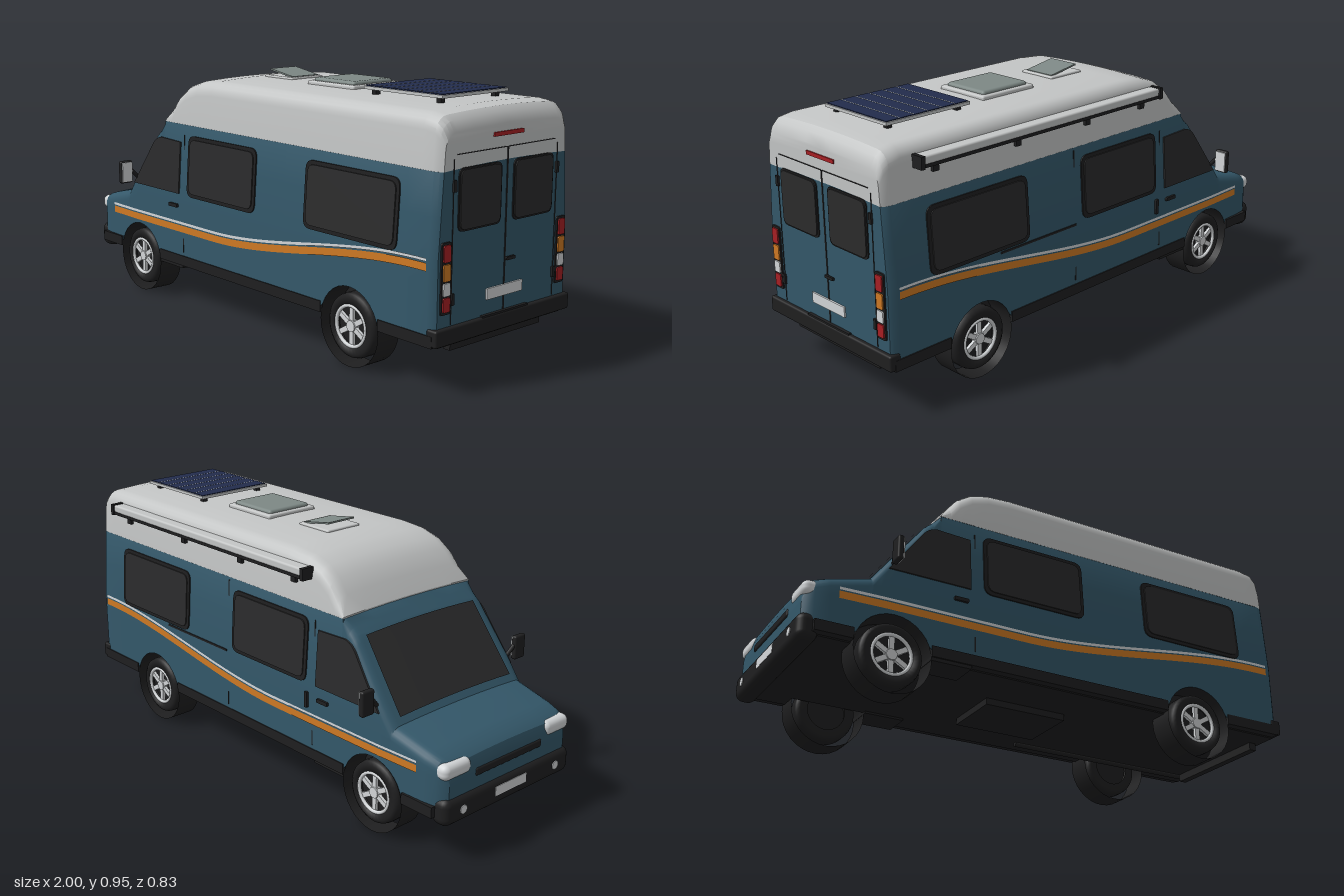
import * as THREE from 'three';
import { toCreasedNormals } from 'three/addons/utils/BufferGeometryUtils.js';
import { RoundedBoxGeometry } from 'three/addons/geometries/RoundedBoxGeometry.js';

const mat = (name, color, side = THREE.FrontSide) => {
  const m = new THREE.MeshStandardMaterial({ color, side });
  m.name = name;
  return m;
};
const teal = mat('tealPaint', 0x34586a);
const roofGrey = mat('roofGrey', 0xc4c6c6);
const black = mat('blackPlastic', 0x1f1f20, THREE.DoubleSide);
const glass = mat('darkGlass', 0x2b2b2c);
const orange = mat('orange', 0xd07a24);
const red = mat('redLens', 0xa82024);
const navy = mat('solarNavy', 0x222c4c);
const silver = mat('silver', 0xd4d7d9);
const hatch = mat('hatchGlass', 0x7d8885);

// Piecewise-linear lookup in a list of [x, value] pairs
const lookup = (table, x) => {
  for (let i = 1; i < table.length; i++) {
    const [x0, v0] = table[i - 1], [x1, v1] = table[i];
    if (x <= x1) return v0 + (v1 - v0) * Math.max(0, (x - x0) / (x1 - x0));
  }
  return table[table.length - 1][1];
};
const plan = [[-0.985, 0.88], [-0.97, 0.93], [-0.95, 0.96], [-0.9, 0.98], [-0.7, 1], [0.955, 1], [0.975, 0.98], [0.985, 0.955]];
const halfWidth = (x, y) => lookup(plan, x) * (0.337 - Math.max(0, y - 0.42) * 0.07);
const hoodTop = [[-0.985, 0.285], [-0.975, 0.315], [-0.95, 0.335], [-0.9, 0.35], [-0.755, 0.385], [-0.555, 0.65], [-0.5, 0.7]];
const roofTop = [[-0.5, 0.705], [-0.46, 0.765], [-0.42, 0.815], [-0.37, 0.85], [-0.3, 0.872], [-0.2, 0.88], [0.9, 0.88], [0.95, 0.872], [0.97, 0.855], [0.985, 0.82]];
const axles = [-0.67, 0.595], AXLE_Y = 0.115, ARCH = 0.142, CROWN = 0.008;

// Surface through rows of [x, y, z] points
function grid(rows) {
  const n = rows[0].length, index = [];
  for (let i = 0; i < rows.length - 1; i++)
    for (let j = 0; j < n - 1; j++) {
      const a = i * n + j, b = a + n;
      index.push(a, b, b + 1, a, b + 1, a + 1);
    }
  const g = new THREE.BufferGeometry();
  g.setAttribute('position', new THREE.Float32BufferAttribute(rows.flat(2), 3));
  g.setIndex(index);
  return toCreasedNormals(g, 0.5);
}

// One body cross-section: up the side, round the corner, across to the other side
function section(x, yb, yt, radius) {
  const r = Math.min(radius, yt - yb), half = [];
  for (const y of [yb, 0.28, 0.35, 0.42, 0.56]) {
    const c = Math.min(Math.max(y, yb), yt - r);
    half.push([x, c, halfWidth(x, c)]);
  }
  const zi = halfWidth(x, yt - r) - r;
  for (let k = 0; k <= 5; k++) {
    const a = k / 5 * Math.PI / 2;
    half.push([x, yt - r + r * Math.sin(a), zi + r * Math.cos(a)]);
  }
  for (const f of [0.66, 0.33]) half.push([x, yt + CROWN * (1 - f * f), zi * f]);
  return [...half, [x, yt + CROWN, 0], ...half.map(([px, y, z]) => [px, y, -z]).reverse()];
}
const flat = row => row.map(([x, y]) => [x, y, 0]);
const capped = rows => grid([flat(rows[0]), ...rows, flat(rows[rows.length - 1])]);

const archBottom = x => axles.reduce((y, c) => {
  const d = Math.abs(x - c);
  return d < ARCH ? Math.max(y, AXLE_Y + Math.sqrt(ARCH * ARCH - d * d)) : y;
}, 0.16);

function roundRect(x0, x1, y0, y1, r) {
  const s = new THREE.Shape();
  s.moveTo(x0 + r, y0).lineTo(x1 - r, y0).quadraticCurveTo(x1, y0, x1, y0 + r);
  s.lineTo(x1, y1 - r).quadraticCurveTo(x1, y1, x1 - r, y1);
  s.lineTo(x0 + r, y1).quadraticCurveTo(x0, y1, x0, y1 - r);
  s.lineTo(x0, y0 + r).quadraticCurveTo(x0, y0, x0 + r, y0);
  return s;
}

export function createModel() {
  const van = new THREE.Group();
  van.name = 'camperVan';
  const add = (name, geo, material, x = 0, y = 0, z = 0, parent = van) => {
    const m = new THREE.Mesh(geo, material);
    m.name = name;
    m.position.set(x, y, z);
    parent.add(m);
    return m;
  };
  const box = (name, material, [x0, x1], [y0, y1], [z0, z1], r = 0) => {
    const size = [x1 - x0, y1 - y0, Math.abs(z1 - z0)];
    const g = r ? new RoundedBoxGeometry(...size, 3, r) : new THREE.BoxGeometry(...size);
    return add(name, g, material, (x0 + x1) / 2, (y0 + y1) / 2, (z0 + z1) / 2);
  };
  // Thin plate that leans with the body side
  const sidePlate = (name, material, shape, s, t = 0.006) => {
    const g = new THREE.ExtrudeGeometry(shape, { depth: 2 * t, bevelEnabled: false, curveSegments: 5 });
    const p = g.attributes.position;
    for (let i = 0; i < p.count; i++) p.setZ(i, p.getZ(i) - t + s * halfWidth(p.getX(i), p.getY(i)));
    g.computeVertexNormals();
    add(name, g, material);
  };
  // Plate on the rear face, given by its z and y range
  const rearPlate = (name, material, z0, z1, y0, y1, r = 0.002, out = 0.004) => {
    const g = new THREE.ExtrudeGeometry(roundRect(-z1, -z0, y0, y1, r), { depth: 0.008, bevelEnabled: false, curveSegments: 5 });
    add(name, g.rotateY(Math.PI / 2), material, 0.977 + out);
  };

  // Painted body with wheel arches, and the high roof above it
  const xs = hoodTop.map(p => p[0]).concat([-0.7, -0.499, -0.25, 0, 0.25, 0.85, 0.955, 0.975, 0.985]);
  for (const c of axles) for (let k = 0; k <= 16; k++) xs.push(c - 0.1425 * Math.cos(k / 16 * Math.PI));
  xs.sort((a, b) => a - b);
  add('body', capped(xs.map(x => section(x, archBottom(x), x < -0.4995 ? lookup(hoodTop, x) : 0.7, x < -0.51 ? 0.04 : x < -0.4995 ? 0.02 : 0.001))), teal);
  add('highRoof', capped(roofTop.map(([x, y]) => section(x, 0.7, y, 0.055))), roofGrey);

  // Windscreen
  const screen = [];
  for (let i = 0; i <= 6; i++) {
    const x = -0.74 + i * 0.03, w = 0.282 - i * 0.002, row = [];
    for (let j = 0; j <= 8; j++) {
      const f = 1 - j / 4;
      row.push([x - 0.004, lookup(hoodTop, x) + CROWN * (1 - f * f) + 0.006, f * w]);
    }
    screen.push(row);
  }
  add('windscreen', grid(screen), glass);

  // Underside, bumpers and nose
  box('chassis', black, [-0.94, 0.97], [0.13, 0.27], [-0.24, 0.24]);
  for (const [x0, x1] of [[-0.95, -0.812], [-0.528, 0.453], [0.737, 0.98]]) {
    box('floor', black, [x0, x1], [0.13, 0.17], [-0.31, 0.31]);
    for (const s of [-1, 1]) box('sideSkirt', black, [x0, x1], [0.135, 0.175], [s * 0.305, s * 0.341]);
  }
  box('frontBumper', black, [-1, -0.925], [0.105, 0.205], [-0.325, 0.325], 0.03);
  box('rearBumper', black, [0.955, 1], [0.138, 0.196], [-0.34, 0.34], 0.008);
  box('rearStep', black, [0.96, 0.997], [0.19, 0.201], [-0.115, 0.115]);
  box('underrun', black, [0.93, 0.96], [0.1, 0.135], [-0.23, 0.23]);
  box('underTank', black, [-0.2, 0.13], [0.105, 0.135], [-0.12, 0.12]);
  add('exhaust', new THREE.CylinderGeometry(0.01, 0.01, 0.8, 10).rotateZ(Math.PI / 2), black, 0.5, 0.108, -0.2);
  box('grille', black, [-0.99, -0.97], [0.245, 0.275], [-0.17, 0.17], 0.008);
  box('frontPlate', silver, [-1.001, -0.995], [0.145, 0.18], [-0.08, 0.08]);

  for (const s of [-1, 1]) {
    box('headlight', silver, [-0.991, -0.925], [0.268, 0.325], [s * 0.19, s * 0.322], 0.024);
    add('fogLight', new THREE.CylinderGeometry(0.016, 0.016, 0.008, 14).rotateZ(Math.PI / 2), silver, -0.999, 0.155, s * 0.24);
    box('cabStep', black, [-0.53, -0.375], [0.122, 0.14], [s * 0.22, s * 0.335]);

    // Side glazing with dark frames
    const cab = new THREE.Shape();
    cab.moveTo(-0.7, 0.425).lineTo(-0.385, 0.425).lineTo(-0.385, 0.63).lineTo(-0.52, 0.635).quadraticCurveTo(-0.55, 0.63, -0.57, 0.605);
    sidePlate('cabWindow', glass, cab, s);
    for (const [x0, x1] of [[-0.332, 0.088], [0.362, 0.818]]) {
      sidePlate('windowFrame', black, roundRect(x0, x1, 0.422, 0.662, 0.035), s, 0.005);
      sidePlate('sideWindow', glass, roundRect(x0 + 0.014, x1 - 0.014, 0.436, 0.648, 0.03), s, 0.009);
    }
    sidePlate('doorSeam', black, roundRect(-0.367, -0.362, 0.19, 0.66, 0.001), s, 0.002);
    sidePlate('doorHandle', black, roundRect(-0.45, -0.395, 0.368, 0.382, 0.004), s, 0.009);

    // Waist stripes sweeping up to the rear
    const stripe = (name, material, lo, hi) => {
      const rows = [];
      for (let i = 0; i <= 45; i++) {
        const x = -0.87 + i * 0.04045;
        const y = 0.285 + 0.113 * THREE.MathUtils.smoothstep(x, -0.17, 0.92);
        const row = [lo, hi].map(d => [x, y + d, s * (halfWidth(x, y + d) + 0.003)]);
        rows.push(s > 0 ? row : row.reverse());
      }
      add(name, grid(rows), material);
    };
    stripe('orangeStripe', orange, -0.014, 0.013);
    stripe('paleStripe', silver, 0.018, 0.028);

    // Door mirror
    box('mirrorHousing', black, [-0.702, -0.68], [0.43, 0.522], [s * 0.36, s * 0.416], 0.008);
    box('mirrorGlass', silver, [-0.682, -0.676], [0.436, 0.516], [s * 0.365, s * 0.411]);
    const arm = new THREE.LineCurve3(new THREE.Vector3(-0.68, 0.44, s * 0.325), new THREE.Vector3(-0.69, 0.485, s * 0.365));
    add('mirrorArm', new THREE.TubeGeometry(arm, 1, 0.008, 8), black);

    // Wheels and their wells
    for (const x of axles) {
      add('wheelWell', new THREE.CylinderGeometry(ARCH, ARCH, 0.1, 32, 1, true).rotateX(Math.PI / 2).translate(0, 0, s * 0.287), black, x, AXLE_Y)
        .geometry.scale(1, 1, 1);
      const wheel = new THREE.Group();
      wheel.name = 'wheel';
      wheel.position.set(x, AXLE_Y, s * 0.293);
      wheel.rotation.y = s > 0 ? 0 : Math.PI;
      van.add(wheel);
      const tyre = [[0.072, -0.037], [0.1, -0.038], [0.112, -0.03], [0.115, -0.018], [0.115, 0.018], [0.112, 0.03], [0.1, 0.038], [0.075, 0.035], [0.074, 0.01]];
      add('tyre', new THREE.LatheGeometry(tyre.map(p => new THREE.Vector2(...p)), 36).rotateX(Math.PI / 2), black, 0, 0, 0, wheel);
      add('wheelDisc', new THREE.CylinderGeometry(0.075, 0.075, 0.04, 28).rotateX(Math.PI / 2), black, 0, 0, -0.005, wheel);
      add('rim', new THREE.TorusGeometry(0.072, 0.007, 8, 32), silver, 0, 0, 0.032, wheel);
      add('hub', new THREE.CylinderGeometry(0.02, 0.024, 0.02, 16).rotateX(Math.PI / 2), silver, 0, 0, 0.026, wheel);
      for (let k = 0; k < 6; k++)
        add('spoke', new THREE.BoxGeometry(0.019, 0.06, 0.012).translate(0, 0.043, 0), silver, 0, 0, 0.026, wheel).rotation.z = k * Math.PI / 3;
    }

    // Rear doors and lamp clusters
    const span = (a, b) => s > 0 ? [a, b] : [-b, -a];
    rearPlate('rearWindowFrame', black, ...span(0.03, 0.236), 0.499, 0.705, 0.025);
    rearPlate('rearWindow', glass, ...span(0.036, 0.23), 0.505, 0.699, 0.025, 0.008);
    rearPlate('rearDoorSeam', black, ...span(0.257, 0.26), 0.2, 0.735, 0.001, 0.002);
    rearPlate('rearDoorTop', black, ...span(0.004, 0.245), 0.748, 0.751, 0.001, 0.002);
    for (const y of [0.265, 0.632]) rearPlate('hinge', black, ...span(0.25, 0.263), y, y + 0.038, 0.002, 0.008);
    rearPlate('lampHousing', black, ...span(0.267, 0.311), 0.24, 0.476, 0.008, 0.006);
    for (const [m, y0, y1] of [[red, 0.412, 0.468], [orange, 0.35, 0.405], [silver, 0.302, 0.344], [red, 0.249, 0.296]])
      rearPlate('tailLamp', m, ...span(0.273, 0.305), y0, y1, 0.006, 0.011);
  }
  rearPlate('doorGap', black, -0.003, 0.003, 0.2, 0.75, 0.001, 0.002);
  rearPlate('rearHandle', black, -0.042, 0.003, 0.37, 0.381, 0.003, 0.012);
  rearPlate('rearPlate', silver, -0.09, 0.09, 0.25, 0.288, 0.002, 0.006);
  rearPlate('highBrakeLamp', red, -0.074, 0.074, 0.788, 0.802, 0.002, 0.005);

  // Sliding door on one side
  sidePlate('slidingDoorSeam', black, roundRect(0.118, 0.123, 0.19, 0.69, 0.001), -1, 0.002);
  sidePlate('slidingDoorRail', black, roundRect(0.123, 0.5, 0.408, 0.416, 0.001), -1, 0.003);
  sidePlate('slidingDoorHandle', black, roundRect(-0.345, -0.33, 0.33, 0.39, 0.004), -1, 0.009);

  // Roof hatches, the front one propped open
  box('frontHatchFrame', roofGrey, [-0.17, -0.008], [0.878, 0.895], [-0.085, 0.073], 0.006);
  const lid = box('frontHatchLid', hatch, [-0.155, -0.02], [0.902, 0.908], [-0.07, 0.058]);
  lid.rotation.z = -0.16;
  box('mainHatchFrame', roofGrey, [0.12, 0.372], [0.878, 0.9], [-0.12, 0.11], 0.008);
  box('mainHatchDome', hatch, [0.137, 0.355], [0.885, 0.912], [-0.103, 0.093], 0.012);

  // Solar panel
  box('solarFrame', roofGrey, [0.477, 0.842], [0.903, 0.914], [-0.167, 0.162]);
  box('solarCells', navy, [0.482, 0.837], [0.91, 0.917], [-0.162, 0.157]);
  for (let x = 0.54; x < 0.82; x += 0.06) box('cellLine', silver, [x - 0.0012, x + 0.0012], [0.915, 0.9178], [-0.16, 0.155]);
  for (const x of [0.51, 0.81]) for (const z of [-0.135, 0.135]) box('solarFoot', black, [x - 0.01, x + 0.01], [0.875, 0.905], [z - 0.01, z + 0.01]);

  // Roll-up awning
  box('awningCase', roofGrey, [-0.32, 0.84], [0.812, 0.842], [-0.35, -0.3], 0.008);
  box('awningRoller', black, [-0.32, 0.84], [0.802, 0.814], [-0.348, -0.305]);
  for (const x of [-0.327, 0.847]) box('awningEnd', black, [x - 0.008, x + 0.008], [0.8, 0.844], [-0.354, -0.305]);
  for (const x of [-0.25, 0.05, 0.4, 0.77]) box('awningBracket', black, [x - 0.012, x + 0.012], [0.772, 0.805], [-0.325, -0.305]);
  return van;
}
